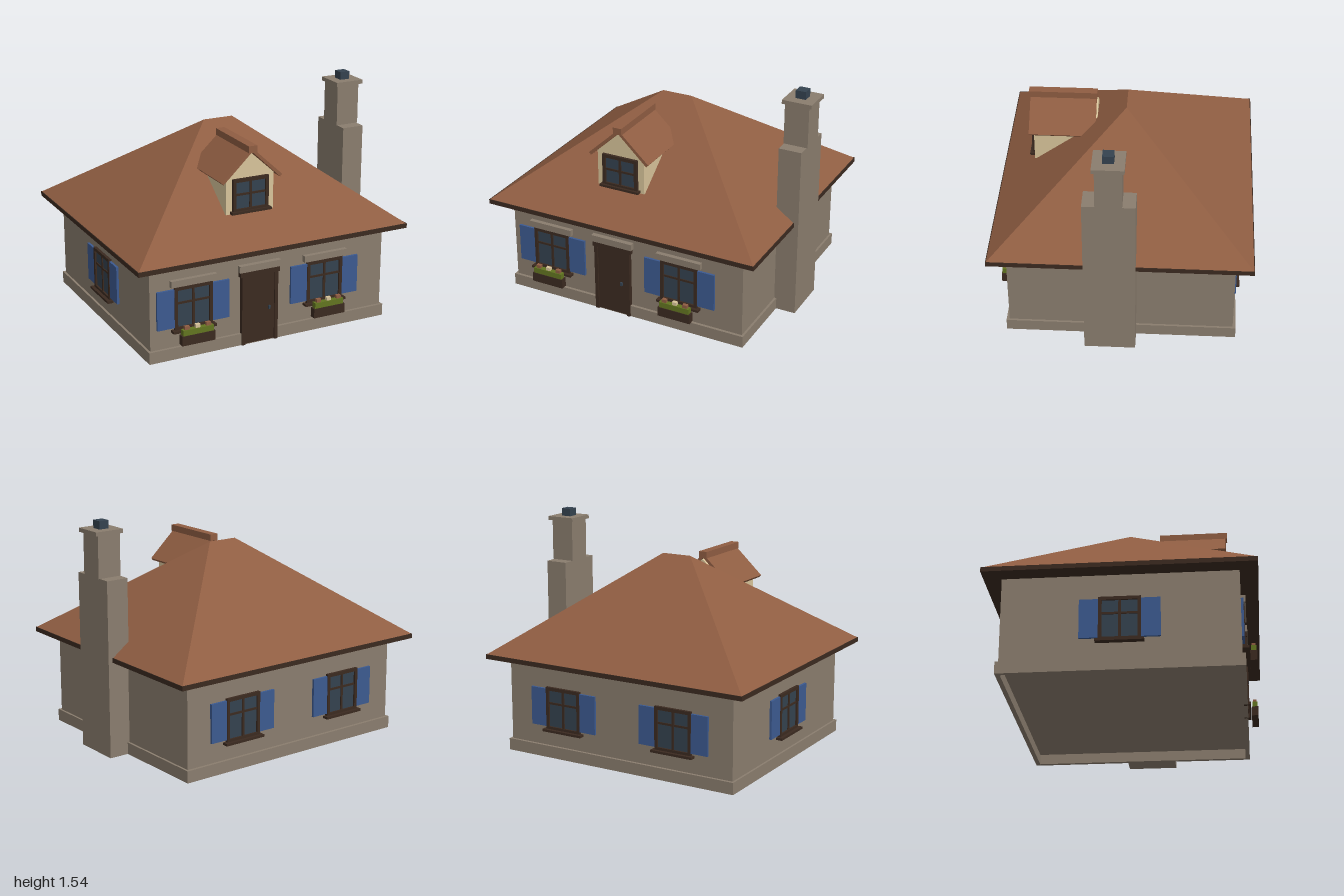
import * as THREE from 'three';

const mat = (name, color) => {
  const m = new THREE.MeshStandardMaterial({ color });
  m.name = name;
  return m;
};

export function createModel() {
  const stone = mat('stone', 0x8a7d6e);
  const tile = mat('roofTile', 0x8f5d42);
  const wood = mat('darkWood', 0x3b2a20);
  const cream = mat('creamPlaster', 0xd8c49a);
  const blue = mat('shutterBlue', 0x3c5a90);
  const glass = mat('slateGlass', 0x34424f);
  const green = mat('leafGreen', 0x627520);

  const house = new THREE.Group();
  house.name = 'cottage';

  const add = (parent, name, geometry, material) => {
    const mesh = new THREE.Mesh(geometry, material);
    mesh.name = name;
    parent.add(mesh);
    return mesh;
  };
  // Box given by its lower and upper limits on each axis
  const box = (parent, name, material, x0, x1, y0, y1, z0, z1) => {
    const mesh = add(parent, name, new THREE.BoxGeometry(x1 - x0, y1 - y0, z1 - z0), material);
    mesh.position.set((x0 + x1) / 2, (y0 + y1) / 2, (z0 + z1) / 2);
    return mesh;
  };
  const group = (name, x = 0, y = 0, z = 0, turn = 0) => {
    const g = new THREE.Group();
    g.name = name;
    g.position.set(x, y, z);
    g.rotation.y = turn;
    house.add(g);
    return g;
  };
  const extrude = (points, depth) => new THREE.ExtrudeGeometry(
    new THREE.Shape(points.map(([x, y]) => new THREE.Vector2(x, y))), { depth, bevelEnabled: false });

  // Walls and the plinth ring around their foot
  const CX = -0.03;
  box(house, 'walls', stone, -0.88, 0.82, 0.07, 0.65, -0.745, 0.745);
  for (const s of [-1, 1]) {
    const x = CX + s * 0.85, z = s * 0.75;
    box(house, 'plinthSide', stone, x - 0.015, x + 0.015, 0, 0.08, -0.735, 0.735);
    box(house, 'plinthEnd', stone, -0.895, 0.835, 0, 0.08, z - 0.015, z + 0.015);
  }

  // Hipped roof: a box whose top corners are drawn in to the ridge
  box(house, 'eavesBoard', wood, -1, 0.94, 0.645, 0.676, -0.86, 0.86);
  const hip = new THREE.BoxGeometry(1.93, 0.635, 1.71).toNonIndexed();
  const p = hip.attributes.position;
  for (let i = 0; i < p.count; i++) {
    if (p.getY(i) > 0) {
      p.setX(i, Math.sign(p.getX(i)) * 0.105);
      p.setZ(i, 0);
    }
  }
  hip.computeVertexNormals();
  add(house, 'hippedRoof', hip, tile).position.set(CX, 0.676 + 0.3175, 0);

  // Chimney
  box(house, 'chimneyBase', stone, 0.815, 0.97, 0, 1.185, -0.103, 0.233);
  box(house, 'chimneyStack', stone, 0.812, 0.978, 1.185, 1.465, -0.02, 0.15);
  box(house, 'chimneyCap', stone, 0.797, 1, 1.465, 1.492, -0.037, 0.167);
  box(house, 'chimneyPot', glass, 0.862, 0.932, 1.492, 1.545, 0.03, 0.102);

  // Glazed frame with a cross of bars, centred on x, standing out from z = 0
  const casement = (g, half, y0, y1, bar) => {
    const t = 0.022;
    box(g, 'glass', glass, -half + t, half - t, y0 + t, y1 - t, 0, 0.008);
    for (const s of [-1, 1]) {
      const x = s * (half - t / 2);
      box(g, 'frameStile', wood, x - t / 2, x + t / 2, y0, y1, -0.005, 0.02);
    }
    for (const y of [y0, y1 - t]) box(g, 'frameRail', wood, -half + t, half - t, y, y + t, -0.005, 0.02);
    box(g, 'uprightBar', wood, -0.008, 0.008, y0 + t, y1 - t, 0, 0.015);
    box(g, 'crossBar', wood, -half + t, half - t, bar - 0.007, bar + 0.007, 0, 0.014);
  };

  // Shuttered window, optionally with lintel and flower box
  const shutteredWindow = (name, x, z, turn, dressed) => {
    const g = group(name, x, 0, z, turn);
    casement(g, 0.133, 0.195, 0.488, 0.378);
    box(g, 'sill', wood, -0.152, 0.152, 0.184, 0.2, -0.005, 0.042);
    for (const s of [-1, 1]) {
      const c = s * 0.193;
      box(g, 'shutter', blue, c - 0.06, c + 0.06, 0.215, 0.475, -0.005, 0.016);
    }
    if (!dressed) return;
    box(g, 'stoneLintel', stone, -0.16, 0.16, 0.494, 0.538, -0.005, 0.03);
    box(g, 'flowerBox', wood, -0.116, 0.116, 0.115, 0.18, 0.046, 0.09);
    box(g, 'leaves', green, -0.107, 0.107, 0.18, 0.218, 0.051, 0.086);
    [tile, cream, tile].forEach((m, i) => {
      const c = (i - 1) * 0.075;
      box(g, 'flower', m, c - 0.016, c + 0.016, 0.212, 0.24, 0.056, 0.08);
    });
  };
  shutteredWindow('frontRightWindow', -0.583, 0.745, 0, true);
  shutteredWindow('frontLeftWindow', 0.373, 0.745, 0, true);
  shutteredWindow('backWindow', 0.39, -0.745, Math.PI, false);
  shutteredWindow('backWindow', -0.455, -0.745, Math.PI, false);
  shutteredWindow('sideWindow', -0.88, 0, -Math.PI / 2, false);

  // Front door
  const door = group('frontDoor', -0.114, 0, 0.745);
  box(door, 'doorLeaf', wood, -0.11, 0.11, 0.005, 0.475, 0, 0.021);
  for (const s of [-1, 1]) {
    const c = s * 0.119;
    box(door, 'doorPost', wood, c - 0.012, c + 0.012, 0, 0.475, -0.005, 0.03);
  }
  box(door, 'doorHead', wood, -0.142, 0.142, 0.473, 0.505, -0.005, 0.03);
  box(door, 'doorLintel', stone, -0.149, 0.149, 0.507, 0.552, -0.005, 0.034);
  box(door, 'doorHandle', glass, 0.062, 0.076, 0.222, 0.245, 0.02, 0.033);

  // Dormer
  const dormer = group('dormer', -0.116, 0, 0);
  const face = [[-0.17, 0.856], [0.17, 0.856], [0.17, 1.1], [0, 1.255], [-0.17, 1.1]];
  add(dormer, 'dormerWalls', extrude(face, 0.425), cream).position.z = 0.2;
  for (const s of [-1, 1]) {
    const slope = [[0, 1.262], [s * 0.203, 1.07], [s * 0.218, 1.086], [0, 1.288]];
    if (s < 0) slope.reverse();
    add(dormer, 'dormerRoofSlope', extrude(slope, 0.445), tile).position.z = 0.21;
  }
  box(dormer, 'dormerRidge', tile, -0.03, 0.03, 1.26, 1.305, 0.205, 0.665);
  const dormerWindow = group('dormerWindow', -0.116, 0, 0.625);
  casement(dormerWindow, 0.127, 0.868, 1.09, 0.985);
  box(dormerWindow, 'sill', wood, -0.142, 0.142, 0.86, 0.876, -0.005, 0.036);

  return house;
}
